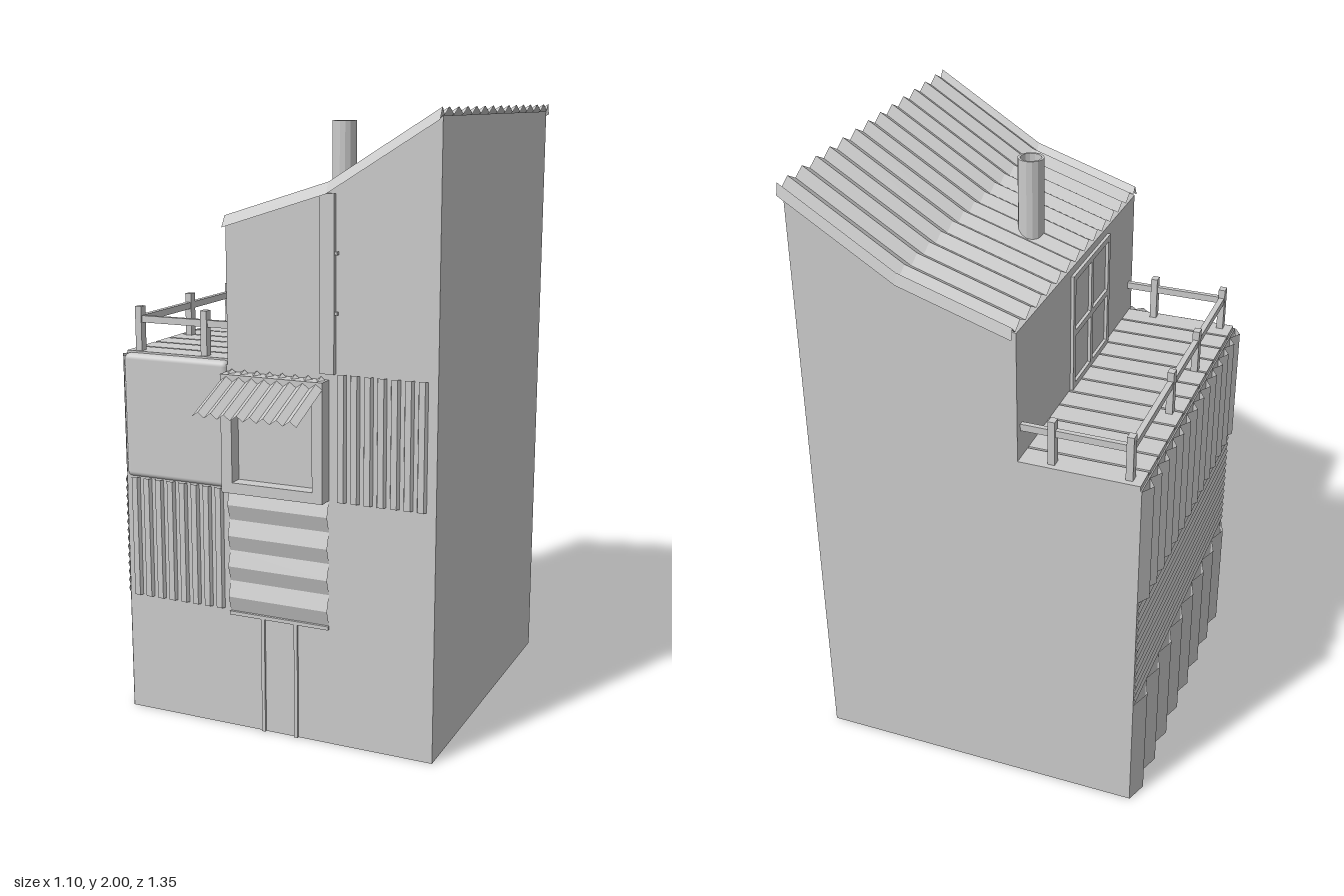
import * as THREE from 'three';
import { RoundedBoxGeometry } from 'three/addons/geometries/RoundedBoxGeometry.js';

const V = (x, y, z) => new THREE.Vector3(x, y, z);
const FRONT = 0.44, BACK = -0.64, LEFT = -0.526, STEP = -0.147, RIGHT = 0.55, DECK = 1.21;

export function createModel() {
  const model = new THREE.Group();
  const solid = new THREE.MeshStandardMaterial({ color: 0xcccccc });
  const thin = new THREE.MeshStandardMaterial({ color: 0xcccccc, side: THREE.DoubleSide });

  function add(name, geometry, material = solid, parent = model) {
    const mesh = new THREE.Mesh(geometry, material);
    mesh.name = name;
    parent.add(mesh);
    return mesh;
  }
  // Box given by its limits
  function box(name, x0, x1, y0, y1, z0, z1, parent = model) {
    const mesh = add(name, new THREE.BoxGeometry(x1 - x0, y1 - y0, z1 - z0), solid, parent);
    mesh.position.set((x0 + x1) / 2, (y0 + y1) / 2, (z0 + z1) / 2);
    return mesh;
  }
  // Thin faceted sheet: a profile carried along a path, outside = profile x path
  function sheet(name, profile, path) {
    const out = [];
    const put = (i, j) => out.push(...profile[i].clone().add(path[j]).toArray());
    for (let i = 0; i < profile.length - 1; i++) {
      for (let j = 0; j < path.length - 1; j++) {
        put(i, j); put(i + 1, j); put(i + 1, j + 1);
        put(i, j); put(i + 1, j + 1); put(i, j + 1);
      }
    }
    const geometry = new THREE.BufferGeometry();
    geometry.setAttribute('position', new THREE.Float32BufferAttribute(out, 3));
    geometry.computeVertexNormals();
    return add(name, geometry, thin);
  }
  // Zigzag between two limits; place(u, h) maps distance and height to a point
  function zigzag(u0, u1, waves, low, high, place) {
    const points = [];
    for (let i = 0; i <= waves * 2; i++) {
      points.push(place(u0 + (u1 - u0) * i / (waves * 2), i % 2 ? high : low));
    }
    return points;
  }
  // Flat sheet with narrow raised ribs
  function ribs(x0, x1, count, low, high) {
    const points = [], w = (x1 - x0) / count;
    for (let i = 0; i < count; i++) {
      const x = x0 + i * w;
      points.push(V(x, 0, low), V(x + w * 0.3, 0, low), V(x + w * 0.4, 0, high), V(x + w * 0.85, 0, high));
    }
    points.push(V(x1, 0, low));
    return points;
  }
  const rise = (y0, y1) => [V(0, y0, 0), V(0, y1, 0)];

  // House body, tall on the right with a lower terrace block
  const outline = new THREE.Shape([
    [LEFT, 0], [RIGHT, 0], [RIGHT, 1.975], [0.2, 1.757], [STEP, 1.645], [STEP, DECK], [LEFT, DECK],
  ].map(([x, y]) => new THREE.Vector2(x, y)));
  const body = new THREE.ExtrudeGeometry(outline, { depth: FRONT - BACK, bevelEnabled: false });
  body.translate(0, 0, BACK);
  add('houseBody', body);

  // Corrugated roof with a bend in its slope
  const roof = [V(0, -0.035, -0.675), V(0, 0, -0.665), V(0, -0.022, -0.645)];
  for (let i = 0; i < 13; i++) {
    const z = -0.607 + i * 0.0828;
    roof.push(V(0, 0, z), V(0, -0.022, z + 0.0414));
  }
  roof.push(V(0, 0, 0.445), V(0, -0.035, 0.466));
  sheet('roof', roof, [V(STEP, 1.674, 0), V(0.2, 1.784, 0), V(RIGHT, 2, 0)]);

  // Chimney pipe
  const pipe = [[0.033, 1.66], [0.041, 1.66], [0.041, 1.95], [0.033, 1.95], [0.033, 1.66]];
  const chimney = add('chimney', new THREE.LatheGeometry(pipe.map(p => new THREE.Vector2(...p)), 14),
    new THREE.MeshStandardMaterial({ color: 0xcccccc, side: THREE.DoubleSide, flatShading: true }));
  chimney.position.set(0.013, 0, -0.108);

  // Cladding on the terrace side: three bands
  const onSide = (z, h) => V(-h, 0, z);
  sheet('lowerSideCladding', zigzag(BACK, FRONT, 8, 0.527, 0.552, onSide), rise(0, 0.405));
  sheet('middleSideCladding', zigzag(0.405, 0.81, 14, 0.527, 0.533, (y, h) => V(-h, y, 0)),
    [V(0, 0, FRONT), V(0, 0, BACK)]);
  sheet('upperSideCladding', zigzag(BACK, FRONT, 14, 0.527, 0.552, onSide), rise(0.81, DECK));

  // Front cladding
  const panel = add('roundedFrontPanel', new RoundedBoxGeometry(0.375, 0.41, 0.05, 4, 0.018));
  panel.position.set(-0.336, 1.015, 0.424);
  sheet('leftRibbedPanel', ribs(-0.52, -0.168, 8, 0.442, 0.452), rise(0.405, 0.81));
  sheet('rightRibbedPanel', ribs(0.215, 0.52, 7, 0.442, 0.452), rise(0.81, DECK));
  sheet('panelBelowWindow', zigzag(0.4, 0.81, 4, 0.441, 0.457, (y, h) => V(0, y, h)),
    [V(0.2, 0, 0), V(STEP, 0, 0)]);
  box('panelSill', STEP, 0.2, 0.388, 0.4, FRONT, 0.45);

  // Window box with a recessed pane
  const frame = new THREE.Shape([[STEP, 0.81], [0.2, 0.81], [0.2, 1.19], [STEP, 1.19]]
    .map(p => new THREE.Vector2(...p)));
  frame.holes.push(new THREE.Path([[-0.11, 0.845], [-0.11, 1.155], [0.165, 1.155], [0.165, 0.845]]
    .map(p => new THREE.Vector2(...p))));
  const frameGeometry = new THREE.ExtrudeGeometry(frame, { depth: 0.052, bevelEnabled: false });
  frameGeometry.translate(0, 0, FRONT);
  add('windowFrame', frameGeometry);
  box('windowPane', -0.11, 0.165, 0.845, 1.155, FRONT, 0.445);

  // Corrugated awning sloping forward
  sheet('awning', zigzag(STEP, 0.2, 8, -0.008, 0.008, (x, h) => V(x, h, 0)),
    [V(0, 1.1, 0.675), V(0, 1.193, 0.452)]);

  // Front door posts
  for (const x of [-0.036, 0.08]) box('doorPost', x, x + 0.012, 0, 0.39, FRONT, 0.448);

  // Upright board with two small brackets
  box('uprightBoard', 0.175, 0.222, DECK, 1.75, FRONT, 0.456);
  for (const y of [1.39, 1.57]) box('bracket', 0.222, 0.231, y, y + 0.01, FRONT, 0.452);

  // Terrace planks
  const terrace = new THREE.Group();
  terrace.name = 'terrace';
  model.add(terrace);
  for (let i = 0; i < 12; i++) {
    const z = -0.64 + i * 0.0893;
    box('plank', -0.522, STEP, DECK, 1.226, z, z + 0.081, terrace);
  }

  // Terrace railing
  const postAt = (x, z) => box('railingPost', x - 0.011, x + 0.011, 1.22, 1.37, z - 0.014, z + 0.014, terrace);
  for (const z of [-0.608, -0.21, 0.077, 0.402]) postAt(-0.482, z);
  for (const z of [-0.608, 0.402]) {
    postAt(-0.244, z);
    box('endRail', -0.482, STEP, 1.318, 1.34, z - 0.008, z + 0.008, terrace);
  }
  box('sideRail', -0.491, -0.473, 1.318, 1.34, -0.608, 0.402, terrace);

  // Glazed terrace door: frame bars on the upper wall
  const door = new THREE.Group();
  door.name = 'terraceDoor';
  model.add(door);
  const x0 = STEP - 0.01, x1 = STEP + 0.005;
  for (const z of [-0.18, -0.015, 0.15]) box('uprightBar', x0, x1, 1.22, 1.62, z - 0.01, z + 0.01, door);
  for (const y of [1.235, 1.42, 1.61]) box('crossBar', x0, x1, y - 0.01, y + 0.01, -0.18, 0.15, door);

  return model;
}
